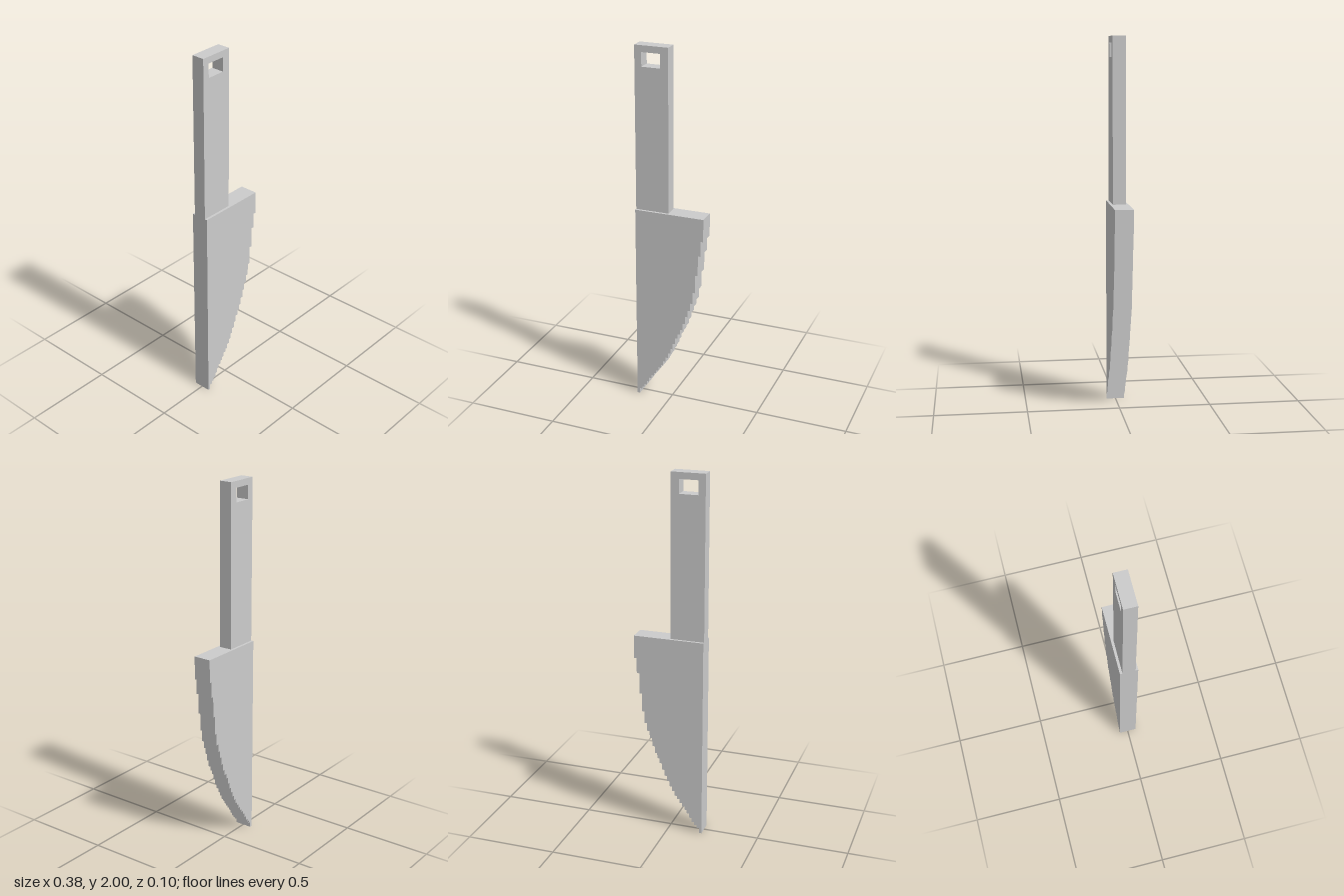
import * as THREE from 'three';

const LEFT = -0.193, RIGHT = 0.192, SHOULDER = 1.116;

// Heights of the steps along the cutting edge, from the tip upward
const STEPS = [0.03, 0.045, 0.062, 0.085, 0.11, 0.13, 0.148, 0.167, 0.19, 0.207, 0.234, 0.26, 0.29,
  0.32, 0.355, 0.392, 0.42, 0.45, 0.49, 0.535, 0.575, 0.62, 0.687, 0.79, 0.905, 0.99, SHOULDER];

function slab(name, shape, depth, material) {
  const geometry = new THREE.ExtrudeGeometry(shape, { depth, bevelEnabled: false });
  geometry.translate(0, 0, -depth / 2);
  const mesh = new THREE.Mesh(geometry, material);
  mesh.name = name;
  return mesh;
}

function rectangle(path, x0, y0, x1, y1) {
  path.moveTo(x0, y0);
  path.lineTo(x1, y0);
  path.lineTo(x1, y1);
  path.lineTo(x0, y1);
  path.closePath();
  return path;
}

export function createModel() {
  const group = new THREE.Group();
  group.name = 'knife';
  const material = new THREE.MeshStandardMaterial({ color: 0xcccccc, flatShading: true });

  // Blade: straight back, stepped edge of equal treads
  const tread = (RIGHT - LEFT) / STEPS.length;
  const outline = new THREE.Shape();
  outline.moveTo(LEFT, 0);
  let y = 0;
  STEPS.forEach((top, i) => {
    const x = LEFT + tread * (i + 1);
    outline.lineTo(x, y);
    outline.lineTo(x, top);
    y = top;
  });
  outline.lineTo(LEFT, SHOULDER);
  outline.closePath();
  group.add(slab('blade', outline, 0.098, material));

  // Handle with a rectangular hanging hole
  const grip = rectangle(new THREE.Shape(), LEFT, SHOULDER, -0.009, 2);
  grip.holes.push(rectangle(new THREE.Path(), -0.155, 1.89, -0.053, 1.965));
  group.add(slab('handle', grip, 0.07, material));

  return group;
}
